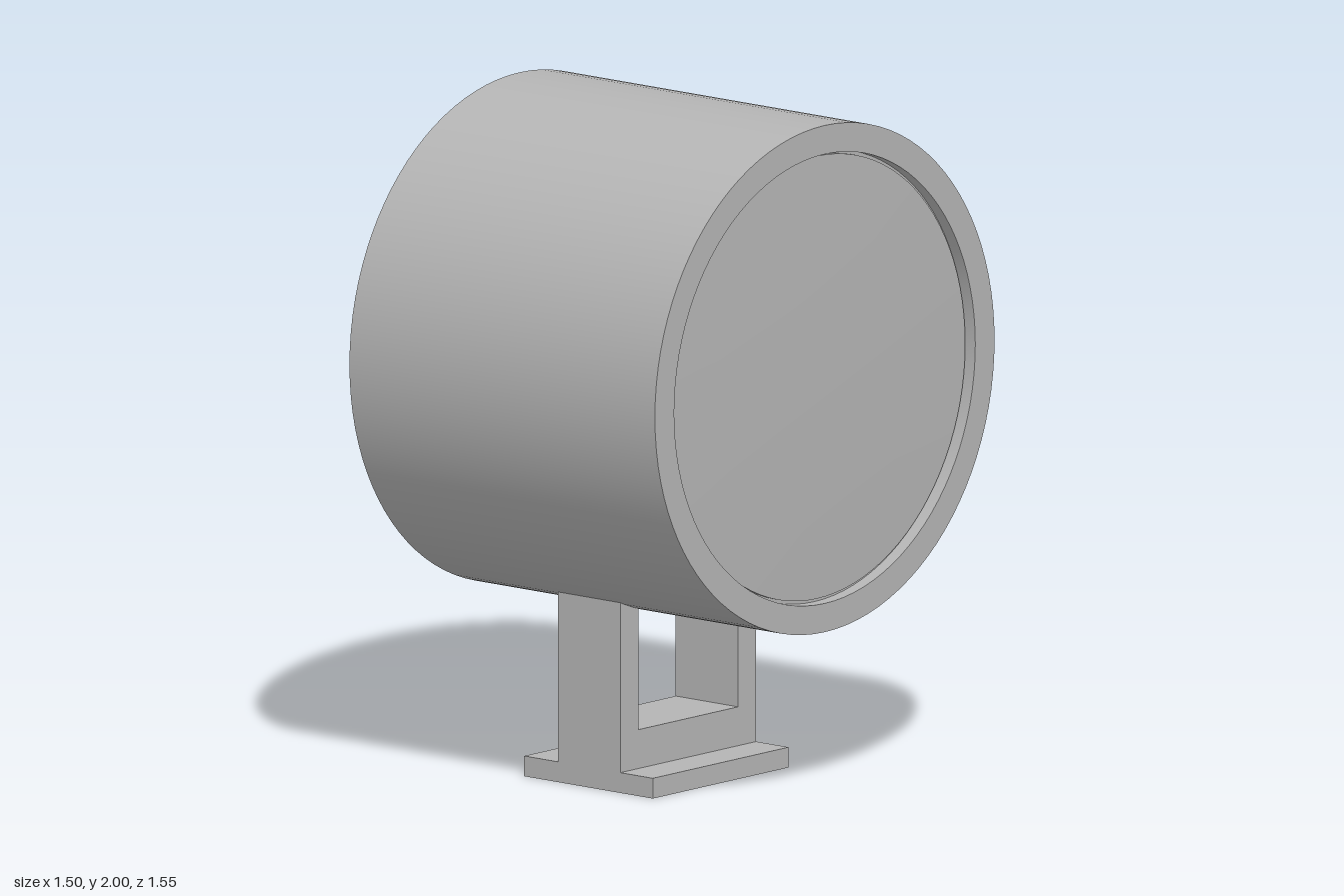
import * as THREE from 'three';
import { toCreasedNormals } from 'three/addons/utils/BufferGeometryUtils.js';

const AXIS_Y = 1.25; // height of the lamp's axis

export function createModel() {
  const model = new THREE.Group();
  model.name = 'spotlight';
  const grey = new THREE.MeshStandardMaterial({ color: 0xb4b4b4 });
  grey.name = 'plain grey';

  function add(name, geometry, parent = model) {
    const mesh = new THREE.Mesh(geometry, grey);
    mesh.name = name;
    parent.add(mesh);
    return mesh;
  }

  // Turned part along z; profile is [radius, z] from back to front
  function turned(name, profile, segments) {
    const points = profile.map(([r, z]) => new THREE.Vector2(r, z));
    const geometry = new THREE.LatheGeometry(points, segments).rotateX(Math.PI / 2);
    add(name, toCreasedNormals(geometry, 0.6)).position.y = AXIS_Y;
  }

  // Drum with domed back and a recessed rim at the front
  turned('housing', [
    [0, -0.495], [0.35, -0.48], [0.6, -0.445], [0.75, -0.4],
    [0.75, 0.775], [0.665, 0.775], [0.665, 0.735], [0.64, 0.735],
  ], 96);

  // Slightly domed front glass
  turned('lens', [[0.655, 0.735], [0.655, 0.745], [0.45, 0.751], [0.22, 0.755], [0, 0.756]], 96);

  // Stepped cable fitting at the back
  turned('rearHub', [[0, -0.65], [0.124, -0.65], [0.124, -0.48]], 48);
  turned('cablePin', [[0, -0.775], [0.06, -0.775], [0.06, -0.64]], 32);

  // Foot plate and U-shaped bracket
  const stand = new THREE.Group();
  stand.name = 'stand';
  model.add(stand);
  add('footPlate', new THREE.BoxGeometry(0.6, 0.06, 0.495), stand).position.set(0, 0.03, 0.1275);

  const u = new THREE.Shape([
    [-0.3, 0.06], [0.3, 0.06], [0.3, 0.565], [0.22, 0.545],
    [0.22, 0.175], [-0.22, 0.175], [-0.22, 0.545], [-0.3, 0.565],
  ].map(([x, y]) => new THREE.Vector2(x, y)));
  add('bracket', new THREE.ExtrudeGeometry(u, { depth: 0.24, bevelEnabled: false }), stand).position.z = 0.01;

  return model;
}
